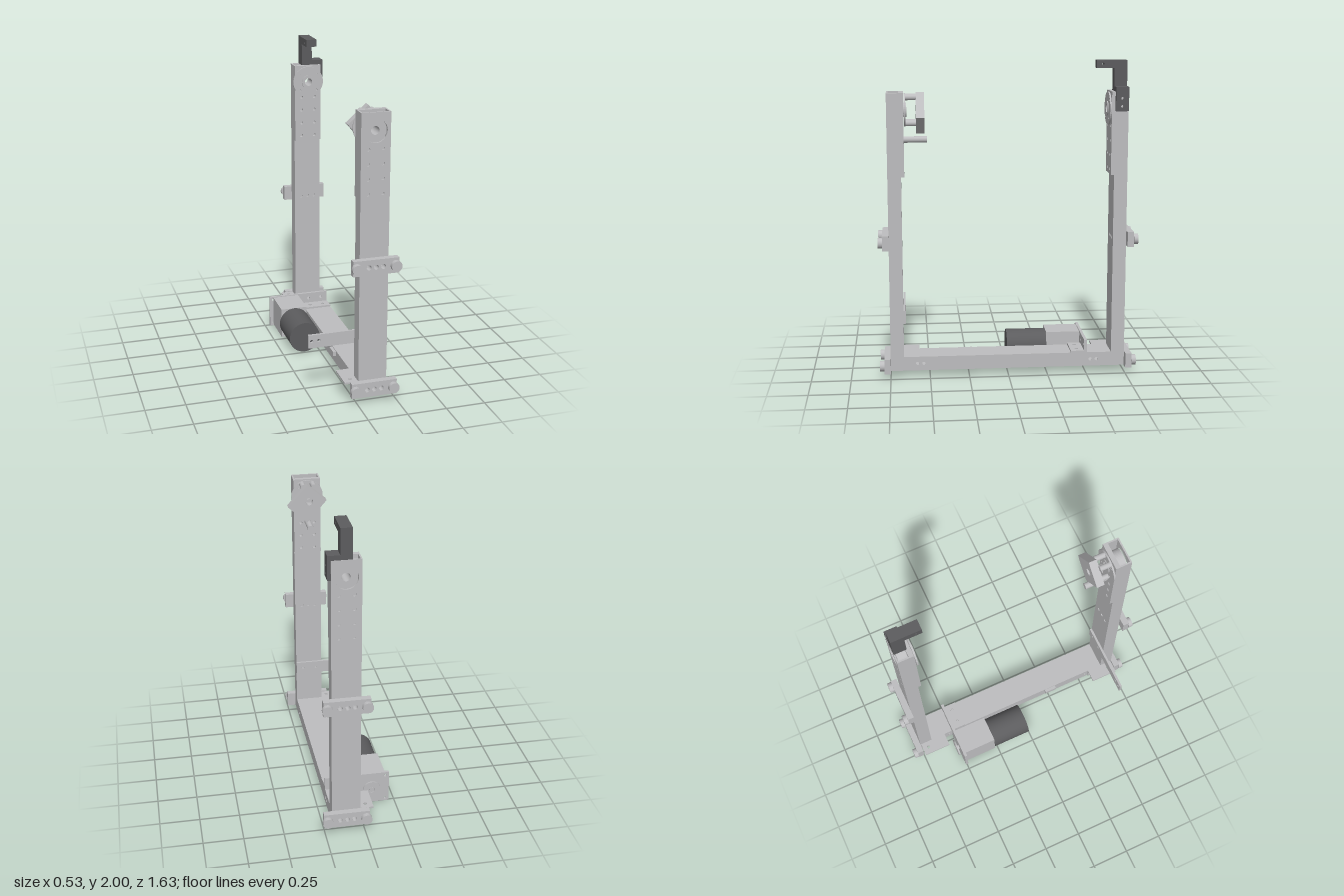
import * as THREE from 'three';

export function createModel() {
  const model = new THREE.Group();
  const metal = new THREE.MeshStandardMaterial({ color: 0xbdbdbf });
  metal.name = 'light grey metal';
  const dark = new THREE.MeshStandardMaterial({ color: 0x5c5c5e });
  dark.name = 'dark grey';

  const add = (name, geometry, material = metal) => {
    const mesh = new THREE.Mesh(geometry, material);
    mesh.name = name;
    model.add(mesh);
    return mesh;
  };

  // Drilled slab: ranges on x, y, z; holes [u, v, radius] run along the chosen axis
  function slab(name, xr, yr, zr, axis = 'z', holes = [], material = metal) {
    const [u, v, d] = { z: [xr, yr, zr], x: [zr, yr, xr], y: [xr, zr, yr] }[axis]
      .map(r => [Math.min(...r), Math.max(...r)]);
    const shape = new THREE.Shape([
      new THREE.Vector2(u[0], v[0]), new THREE.Vector2(u[1], v[0]),
      new THREE.Vector2(u[1], v[1]), new THREE.Vector2(u[0], v[1])]);
    for (const [a, b, r] of holes) {
      shape.holes.push(new THREE.Path().absarc(a, b, r, 0, Math.PI * 2, true));
    }
    const g = new THREE.ExtrudeGeometry(shape, { depth: d[1] - d[0], bevelEnabled: false, curveSegments: r12(holes) });
    if (axis === 'z') g.translate(0, 0, d[0]);
    if (axis === 'x') g.rotateY(-Math.PI / 2).translate(d[1], 0, 0);
    if (axis === 'y') g.rotateX(Math.PI / 2).translate(0, d[1], 0);
    return add(name, g, material);
  }
  function r12(holes) { return holes.some(h => h[2] > 0.03) ? 24 : 8; }

  // Solid round bar along z
  function rod(name, x, y, z0, z1, r, material = metal) {
    const g = new THREE.CylinderGeometry(r, r, Math.abs(z1 - z0), 32);
    g.rotateX(Math.PI / 2).translate(x, y, (z0 + z1) / 2);
    return add(name, g, material);
  }

  // Round ring with a bore along z
  function ring(name, x, y, z0, z1, r, bore, extra = []) {
    const shape = new THREE.Shape().absarc(x, y, r, 0, Math.PI * 2);
    for (const [a, b, q] of [[x, y, bore], ...extra]) {
      shape.holes.push(new THREE.Path().absarc(a, b, q, 0, Math.PI * 2, true));
    }
    const g = new THREE.ExtrudeGeometry(shape, { depth: Math.abs(z1 - z0), bevelEnabled: false, curveSegments: 24 });
    return add(name, g.translate(0, 0, Math.min(z0, z1)));
  }

  const X = [0.02, 0.2], CX = 0.11, AXLE = 1.7, WALL = 0.01;
  const pairHoles = [1.325, 1.415, 1.505, 1.595].flatMap(y => [[0.065, y, 0.011], [0.155, y, 0.011]]);
  const tripleHoles = y => [0.065, 0.11, 0.155].map(x => [x, y, 0.012]);

  // Front and back uprights share everything except the tooling on top
  for (const s of [1, -1]) {
    const side = s > 0 ? 'front' : 'back';
    const Z = (a, b) => [s * a, s * b];
    const holes = [[CX, AXLE, 0.07], ...pairHoles, ...tripleHoles(0.885)];
    slab(side + 'PostOuterWall', X, [0.045, 1.81], Z(0.74, 0.75), 'z', [...holes, ...tripleHoles(0.09)]);
    slab(side + 'PostInnerWall', X, [0.045, 1.81], Z(0.665, 0.675), 'z', holes);
    slab(side + 'PostLeftWall', [0.2 - WALL, 0.2], [0.045, 1.81], Z(0.675, 0.74));
    slab(side + 'PostRightWall', [0.02, 0.02 + WALL], [0.045, 1.81], Z(0.675, 0.74));
    slab(side + 'ReinforcingPlate', X, [1.29, 1.81], Z(0.645, 0.665), 'z', [[CX, AXLE, 0.07], ...pairHoles]);

    // Bearing and its inner disc
    ring(side + 'Bearing', CX, AXLE, s * 0.645, s * 0.735, 0.069, 0.026);
    const screws = [0, 1, 2, 3].map(i => {
      const a = i * Math.PI / 2 + Math.PI / 4;
      return [CX + 0.08 * Math.cos(a), AXLE + 0.08 * Math.sin(a), 0.007];
    });
    ring(side + 'BearingDisc', CX, AXLE, s * 0.632, s * 0.642, 0.104, 0.026, screws);
    ring(side + 'BearingHub', CX, AXLE, s * 0.626, s * 0.65, 0.045, 0.026);

    // Cross bars with round feet
    for (const y of [0.09, 0.885]) {
      slab(side + 'CrossBar', [-0.033, 0.255], [y - 0.048, y + 0.048], Z(0.75, 0.79), 'z',
        [0.065, 0.11, 0.155].map(x => [x, y, 0.016]));
      for (const x of [-0.01, 0.232]) rod(side + 'BarFoot', x, y, s * 0.79, s * 0.817, 0.033);
    }

    // Angle bracket beside the foot of the post
    slab(side + 'AngleTop', [-0.065, 0.02], [0.123, 0.135], Z(0.565, 0.745), 'y', [[-0.02, s * 0.705, 0.011]]);
    slab(side + 'AngleSide', [0.01, 0.02], [0.05, 0.123], Z(0.565, 0.745));
  }

  // Base beam, a hollow box section
  const sideHoles = [0.58, 0.54, -0.53, -0.57].map(z => [z, 0.09, 0.011]);
  slab('baseTop', X, [0.125, 0.135], [-0.665, 0.665]);
  slab('baseBottom', X, [0.045, 0.055], [-0.739, 0.739]);
  slab('baseLeftWall', [0.19, 0.2], [0.055, 0.125], [-0.665, 0.665], 'x', sideHoles);
  slab('baseRightWall', [0.02, 0.03], [0.055, 0.125], [-0.665, 0.665], 'x', sideHoles);
  slab('baseClip', [0, 0.02], [0.1, 0.13], [0.22, 0.3]);

  // Side arm on the front post
  slab('sideArm', [-0.27, 0.2], [0.355, 0.44], [0.65, 0.665], 'z',
    [[-0.25, 0.4, 0.01], [-0.205, 0.4, 0.01], [0.065, 0.4, 0.01], [0.155, 0.4, 0.01]]);

  // Drive motor, gearbox and mounting bracket
  const MX = -0.1, MY = 0.11;
  rod('motorBody', MX, MY, -0.27, -0.01, 0.103, dark);
  slab('gearbox', [-0.19, -0.012], [0.01, 0.213], [-0.492, -0.27]);
  const corners = [-1, 1].flatMap(i => [-1, 1].map(j => [MX + i * 0.09, MY + j * 0.085, 0.01]));
  slab('motorPlate', [-0.215, 0.015], [0.005, 0.218], [-0.508, -0.49], 'z', corners);
  ring('motorSprocket', MX, MY, -0.53, -0.52, 0.058, 0.02);
  rod('motorShaft', MX, MY, -0.528, -0.5, 0.017);
  slab('bracketUpright', [0.015, 0.2], [0.135, 0.218], [-0.508, -0.49], 'z', [[0.065, 0.18, 0.011], [0.155, 0.18, 0.011]]);
  slab('bracketFlange', X, [0.135, 0.147], [-0.49, -0.405], 'y', [[0.065, -0.445, 0.011], [0.155, -0.445, 0.011]]);

  // Tilted block held off the front disc by spacers, with a stop pin below
  for (const i of [-1, 1]) for (const j of [-1, 1]) {
    rod('blockSpacer', CX + i * 0.035, AXLE + j * 0.08, 0.565, 0.635, 0.018);
  }
  const tilted = slab('tiltedBlock', [-0.0835, 0.0835], [-0.0975, 0.0975], [0.517, 0.568], 'z', [[0, 0.02, 0.025]]);
  tilted.position.set(0.1275, 1.6825, 0);
  tilted.rotation.z = Math.atan2(0.11, 0.125);
  rod('stopPin', CX, 1.515, 0.5, 0.65, 0.02);

  // Dark hook over the back post
  slab('hookCap', [0.075, 0.22], [1.81, 1.84], [-0.748, -0.667], 'z', [], dark);
  slab('hookSidePlate', [0.2, 0.22], [1.69, 1.81], [-0.748, -0.667], 'x',
    [[-0.707, 1.77, 0.009], [-0.707, 1.72, 0.009]], dark);
  slab('hookStem', [0.075, 0.145], [1.84, 1.952], [-0.748, -0.667], 'z', [], dark);
  slab('hookArm', [0.075, 0.145], [1.952, 2], [-0.748, -0.557], 'x', [[-0.595, 1.976, 0.009]], dark);

  return model;
}
